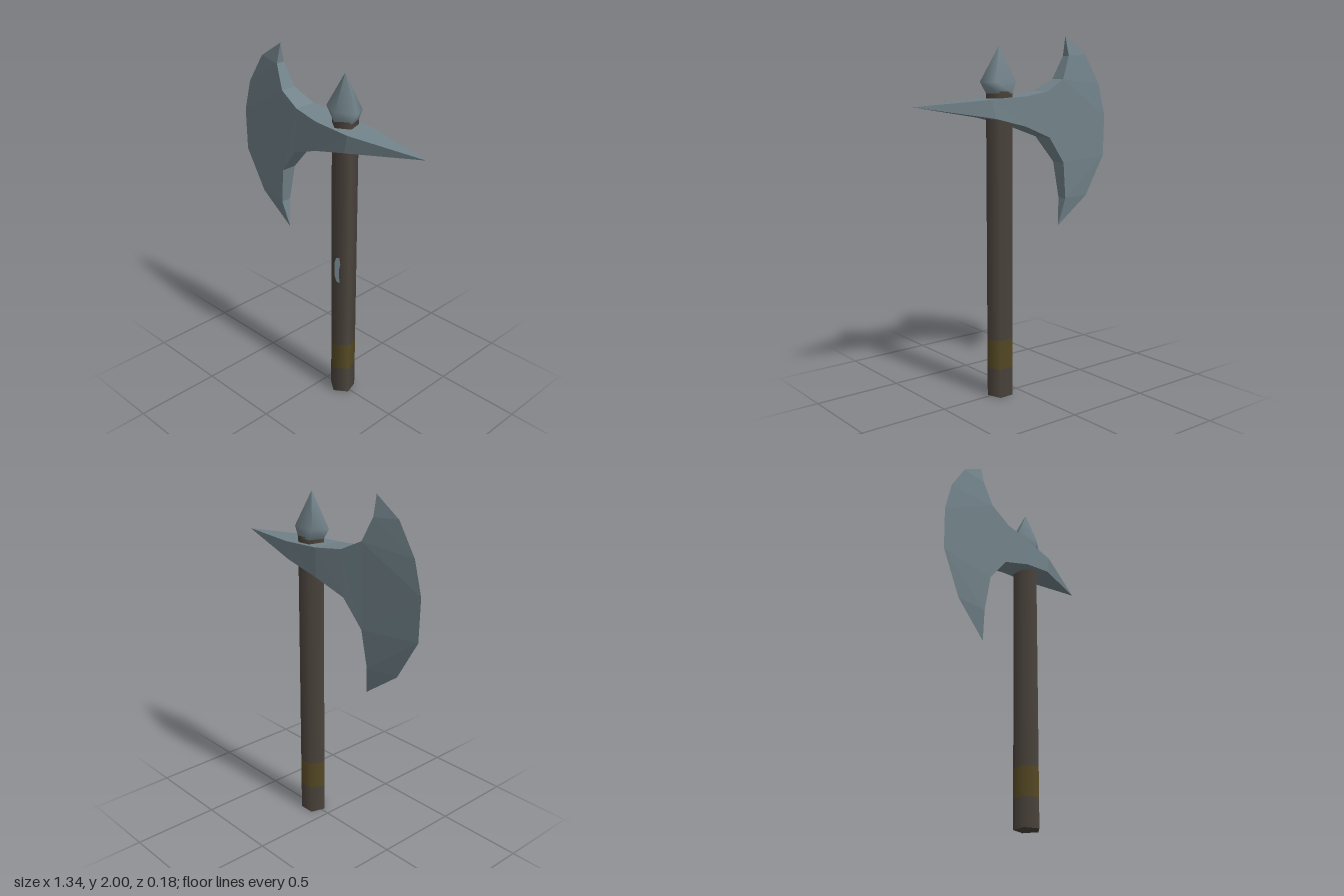
import * as THREE from 'three';
import { mergeVertices } from 'three/addons/utils/BufferGeometryUtils.js';

const SHAFT_X = 0.12, SHAFT_Z = -0.004, SHAFT_R = 0.074;

// Axe head: paired top/bottom ridges with thickness, closing on a sharp outer edge
function headGeometry() {
  const spike = [0.665, 1.63, 0];
  const top = [[0.23, 1.66, 0.092], [0, 1.672, 0.086], [-0.17, 1.695, 0.064], [-0.3, 1.76, 0.046], [-0.36, 1.89, 0.025]];
  const bottom = [[0.21, 1.56, 0.092], [0, 1.51, 0.086], [-0.19, 1.44, 0.062], [-0.31, 1.29, 0.045], [-0.34, 1.08, 0.03]];
  const edge = [[-0.355, 2, 0], [-0.51, 1.9, 0], [-0.62, 1.73, 0], [-0.67, 1.55, 0],
    [-0.665, 1.31, 0], [-0.53, 1.08, 0], [-0.31, 0.92, 0]];
  const pos = [];
  const back = ([x, y, z]) => [x, y, -z];
  const tri = (a, b, c) => pos.push(...a, ...b, ...c);
  const sides = (a, b, c) => { tri(a, b, c); tri(back(a), back(c), back(b)); };

  // spike and cheeks
  sides(spike, top[0], bottom[0]);
  for (let i = 0; i < 3; i++) {
    sides(top[i], top[i + 1], bottom[i + 1]);
    sides(top[i], bottom[i + 1], bottom[i]);
  }
  // blade, fanned from the inner corners to the cutting edge
  const [, , , B, A] = top, [, , , C, D] = bottom;
  sides(A, edge[0], edge[1]);
  sides(A, edge[1], edge[2]);
  sides(A, edge[2], B);
  sides(B, edge[2], edge[3]);
  sides(B, edge[3], C);
  sides(C, edge[3], edge[4]);
  sides(C, edge[4], D);
  sides(D, edge[4], edge[5]);
  sides(D, edge[5], edge[6]);
  // upper and lower rims, from spike to horn tip
  const upper = [spike, ...top, edge[0]], lower = [spike, ...bottom, edge[6]];
  for (let i = 0; i < upper.length - 1; i++) {
    const [p, q, r, s] = [upper[i], upper[i + 1], lower[i], lower[i + 1]];
    if (i > 0) { tri(p, back(p), back(q)); tri(r, back(s), back(r)); }
    if (i < upper.length - 2) { tri(p, back(q), q); tri(r, s, back(s)); }
    else { tri(r, s, back(r)); }
  }
  const g = new THREE.BufferGeometry();
  g.setAttribute('position', new THREE.Float32BufferAttribute(pos, 3));
  g.computeVertexNormals();
  return g;
}

// Five-sided finial whose middle ring is widened sideways
function finialGeometry() {
  const profile = [[SHAFT_R, 1.69], [SHAFT_R, 1.75], [0.0005, 1.94]].map(p => new THREE.Vector2(...p));
  let g = new THREE.LatheGeometry(profile, 5);
  const p = g.attributes.position;
  for (let i = 0; i < p.count; i++) {
    if (Math.abs(p.getY(i) - 1.75) < 0.01) p.setX(i, p.getX(i) * 1.57);
  }
  g.deleteAttribute('normal');
  g.deleteAttribute('uv');
  g = mergeVertices(g);
  g.computeVertexNormals();
  return g;
}

export function createModel() {
  const model = new THREE.Group();
  model.name = 'axe';
  const material = (name, color) => Object.assign(new THREE.MeshStandardMaterial({ color }), { name });
  const steel = material('steel', 0x72838a);
  const wood = material('darkWood', 0x4c443d);
  const brass = material('agedBrass', 0x574a25);
  const add = (name, geometry, mat, x = 0, z = 0) => {
    const mesh = new THREE.Mesh(geometry, mat);
    mesh.name = name;
    mesh.position.set(x, 0, z);
    model.add(mesh);
    return mesh;
  };

  // Pentagonal handle with a coloured band
  const section = (name, y0, y1, mat, open) => add(name,
    new THREE.CylinderGeometry(SHAFT_R, SHAFT_R, y1 - y0, 5, 1, open).translate(0, (y0 + y1) / 2, 0),
    mat, SHAFT_X, SHAFT_Z);
  section('handleFoot', 0, 0.165, wood, false);
  section('handleBand', 0.165, 0.33, brass, true);
  section('handle', 0.33, 1.7, wood, false);

  add('finial', finialGeometry(), steel, SHAFT_X, SHAFT_Z);

  const headSteel = steel.clone();
  headSteel.name = 'headSteel';
  headSteel.flatShading = true;
  add('axeHead', headGeometry(), headSteel);

  // Worn patch on the front right face of the handle
  const worn = new THREE.Shape([[-0.04, 0.8], [-0.03, 0.76], [-0.012, 0.75], [-0.016, 0.83], [-0.008, 0.87],
    [-0.014, 0.91], [-0.032, 0.91], [-0.04, 0.88]].map(p => new THREE.Vector2(...p)));
  const angle = Math.PI / 5, d = SHAFT_R * Math.cos(angle) + 0.002;
  const patch = add('wornPatch', new THREE.ShapeGeometry(worn), steel,
    SHAFT_X + Math.sin(angle) * d, SHAFT_Z + Math.cos(angle) * d);
  patch.rotation.y = angle;

  return model;
}
